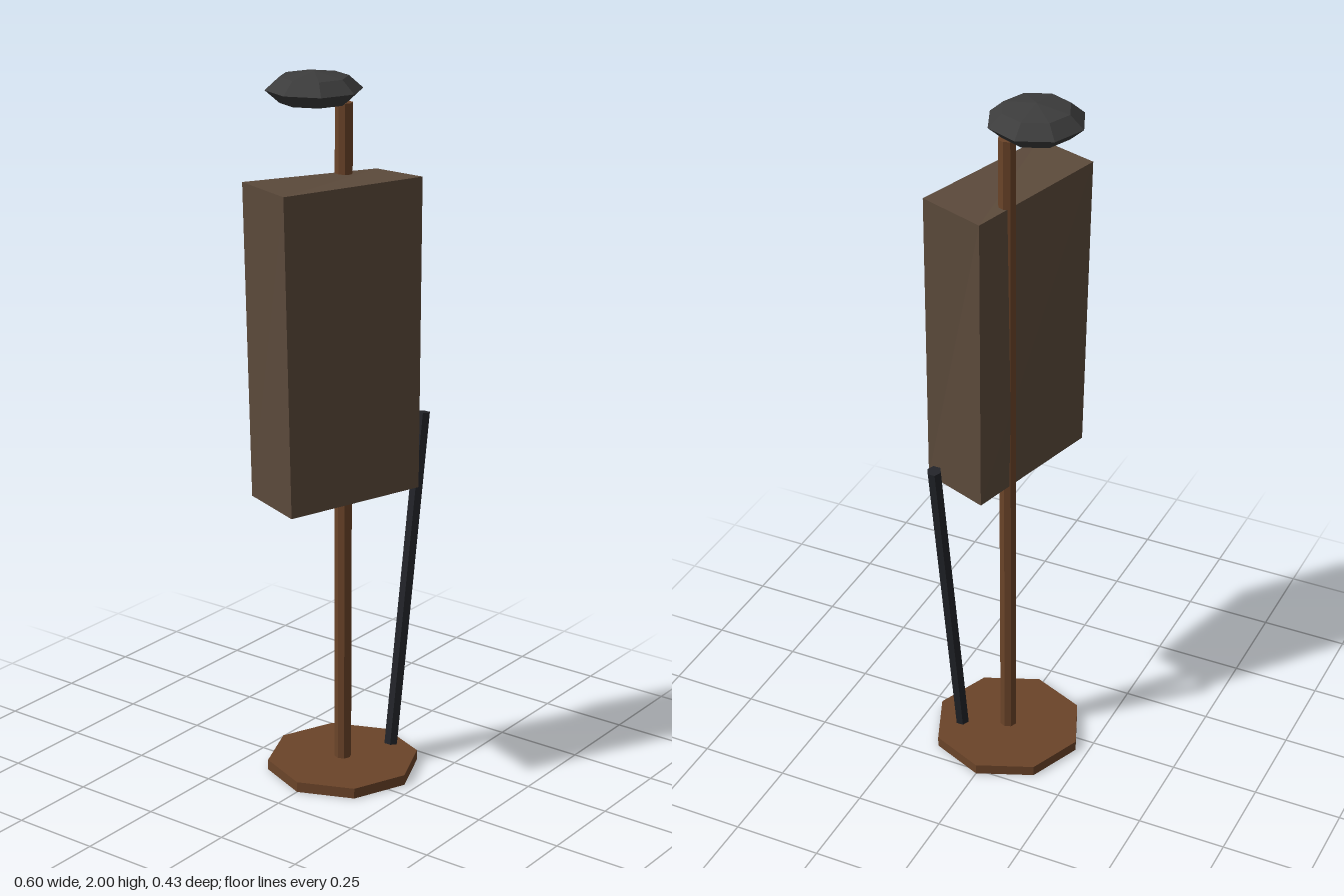
import * as THREE from 'three';

const mat = (color) => new THREE.MeshStandardMaterial({ color, flatShading: true });

function part(name, geometry, material, x, y, z) {
  const mesh = new THREE.Mesh(geometry, material);
  mesh.name = name;
  mesh.position.set(x, y, z);
  return mesh;
}

// Box whose eight corners are moved to a slightly skewed, turned block.
// Corner order per ring: back left, front left, back right, front right.
function skewedBox(bottom, top) {
  const geo = new THREE.BoxGeometry(2, 2, 2);
  const p = geo.attributes.position;
  for (let i = 0; i < p.count; i++) {
    const ring = p.getY(i) > 0 ? top : bottom;
    const corner = (p.getX(i) > 0 ? 2 : 0) + (p.getZ(i) > 0 ? 1 : 0);
    p.setXYZ(i, ...ring[corner]);
  }
  geo.computeVertexNormals();
  return geo;
}

export function createModel() {
  const group = new THREE.Group();
  group.name = 'coatStand';
  const wood = mat(0x6b4429);
  const cloth = mat(0x5c4a3b);
  const felt = mat(0x3c3c3c);
  const dark = mat(0x222429);

  // Octagonal foot and upright pole
  group.add(part('base', new THREE.CylinderGeometry(0.215, 0.215, 0.03, 8), wood, 0.05, 0.015, 0));
  group.add(part('pole', new THREE.CylinderGeometry(0.024, 0.024, 1.89, 8), wood, 0.05, 0.97, 0));

  // Hanging coat, a block turned about the pole
  const coat = skewedBox(
    [[-0.23, 0.88, -0.097], [-0.302, 0.877, 0.092], [0.181, 0.873, 0.018], [0.109, 0.873, 0.211]],
    [[-0.24, 1.74, -0.111], [-0.304, 1.738, 0.073], [0.168, 1.72, 0.022], [0.118, 1.732, 0.206]]
  );
  group.add(part('coat', coat, cloth, 0, 0, 0));

  // Flattened low-poly hat on top
  const hat = part('hat', new THREE.SphereGeometry(0.13, 8, 4), felt, -0.005, 1.952, -0.056);
  hat.scale.y = 0.048 / 0.13;
  group.add(hat);

  // Leaning cane
  const from = new THREE.Vector3(0.138, 0.065, 0.105);
  const to = new THREE.Vector3(0.282, 1.022, 0.105);
  const cane = part('cane', new THREE.CylinderGeometry(0.02, 0.02, from.distanceTo(to), 6), dark, 0, 0, 0);
  cane.position.lerpVectors(from, to, 0.5);
  cane.quaternion.setFromUnitVectors(new THREE.Vector3(0, 1, 0), to.clone().sub(from).normalize());
  group.add(cane);

  return group;
}
